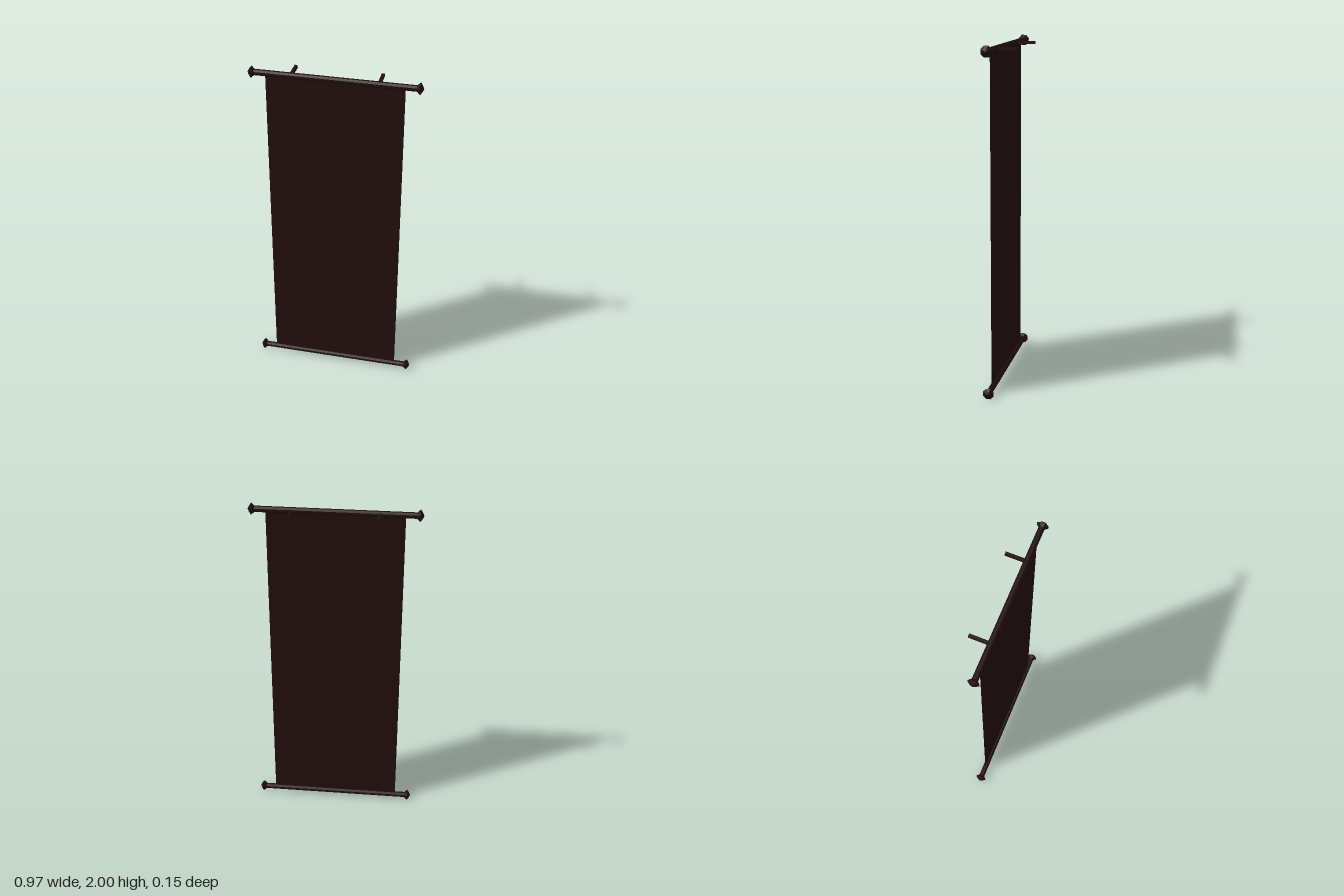
import * as THREE from 'three';

const HALF_CLOTH = 0.385, ROD_Z = 0.043, LOW_Y = 0.033, HIGH_Y = 1.969;
const FLAT = 1 / Math.cos(Math.PI / 8); // octagon corner radius for a given flat radius

// Eight-sided turned shape along +x from [x, radius] points
function turned(points) {
  const profile = points.map(([x, r]) => new THREE.Vector2(r * FLAT, x));
  const geo = new THREE.LatheGeometry(profile, 8, Math.PI / 8).toNonIndexed();
  geo.rotateZ(-Math.PI / 2);
  geo.computeVertexNormals();
  return geo;
}

export function createModel() {
  const model = new THREE.Group();
  model.name = 'hangingBanner';
  const wood = new THREE.MeshStandardMaterial({ color: 0x230e0e });
  wood.name = 'dark brown wood';
  wood.flatShading = true;
  const fabric = new THREE.MeshStandardMaterial({ color: 0x230e0e, side: THREE.DoubleSide });
  fabric.name = 'dark brown cloth';

  const add = (parent, name, geo, mat, x, y, z) => {
    const mesh = new THREE.Mesh(geo, mat);
    mesh.name = name;
    mesh.position.set(x, y, z);
    parent.add(mesh);
    return mesh;
  };

  // Cloth hanging between the two rods
  add(model, 'cloth', new THREE.PlaneGeometry(HALF_CLOTH * 2, HIGH_Y - LOW_Y), fabric,
    0, (HIGH_Y + LOW_Y) / 2, ROD_Z);

  // Rods with a pointed knob on each end
  const rodGeo = turned([[-0.45, 0.016], [0.45, 0.016]]);
  const knobGeo = turned([[0.444, 0.015], [0.463, 0.031], [0.475, 0.016], [0.483, 0]]);
  for (const [name, y] of [['topRod', HIGH_Y], ['bottomRod', LOW_Y]]) {
    const rod = new THREE.Group();
    rod.name = name;
    rod.position.set(0, y, ROD_Z);
    model.add(rod);
    add(rod, 'rod', rodGeo, wood, 0, 0, 0);
    add(rod, 'leftKnob', knobGeo, wood, 0, 0, 0);
    add(rod, 'rightKnob', knobGeo, wood, 0, 0, 0).rotation.y = Math.PI;
  }

  // Wall brackets running back from the top rod
  const bracketGeo = new THREE.BoxGeometry(0.017, 0.017, 0.115);
  for (const side of [1, -1]) {
    add(model, side > 0 ? 'leftBracket' : 'rightBracket', bracketGeo, wood, side * 0.242, HIGH_Y, -0.018);
  }
  return model;
}
